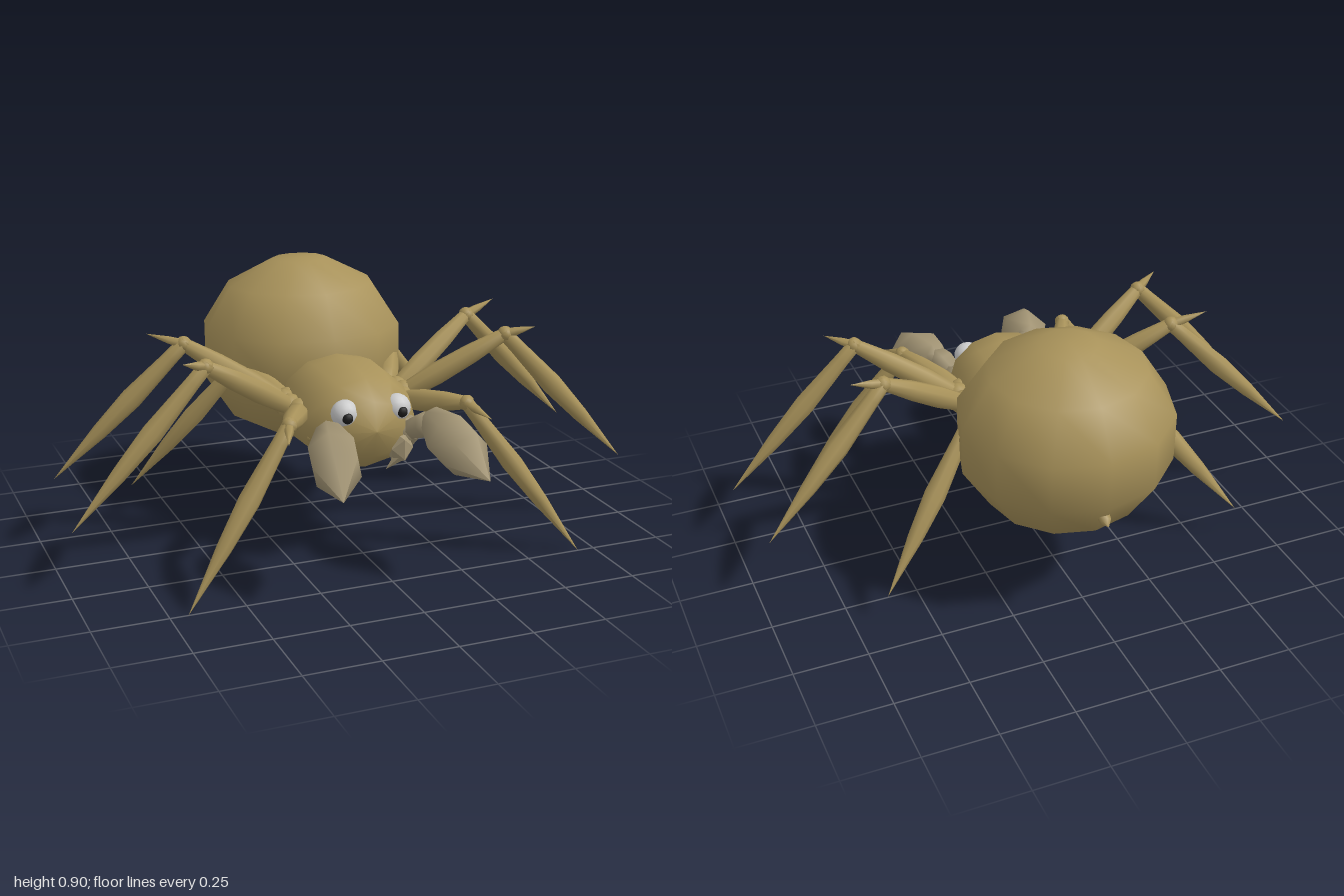
import * as THREE from 'three';

const V = (x, y, z) => new THREE.Vector3(x, y, z);
const mat = (color) => new THREE.MeshStandardMaterial({ color });

export function createModel() {
  const model = new THREE.Group();
  const brown = mat(0xa8925a), tan = mat(0xa29474), white = mat(0xe0e0e0), black = mat(0x1c1c1c);
  const facetTan = mat(0xa29474);
  facetTan.flatShading = true;

  function add(name, geometry, material, parent = model) {
    const mesh = new THREE.Mesh(geometry, material);
    mesh.name = name;
    parent.add(mesh);
    return mesh;
  }

  // Turned limb from a to b; profile holds [radius, fraction of length]
  function limb(name, a, b, profile, sides, material, parent) {
    const length = a.distanceTo(b);
    const points = profile.map(([r, t]) => new THREE.Vector2(r, t * length));
    const mesh = add(name, new THREE.LatheGeometry(points, sides), material, parent);
    mesh.position.copy(a);
    mesh.quaternion.setFromUnitVectors(V(0, 1, 0), b.clone().sub(a).normalize());
    return mesh;
  }

  function ball(name, p, r, material, parent, w = 10, h = 8) {
    const mesh = add(name, new THREE.SphereGeometry(r, w, h), material, parent);
    mesh.position.copy(p);
    return mesh;
  }

  // Abdomen: twelve-sided ball with flat caps
  const rings = [new THREE.Vector2(0, -0.97)];
  for (let i = 0; i < 6; i++) {
    const a = THREE.MathUtils.degToRad(-75 + i * 30);
    rings.push(new THREE.Vector2(Math.cos(a), Math.sin(a)));
  }
  rings.push(new THREE.Vector2(0, 0.97));
  const abdomen = add('abdomen', new THREE.LatheGeometry(rings, 12), brown);
  abdomen.scale.set(0.37, 0.332, 0.358);
  abdomen.position.set(0, 0.588, -0.342);
  abdomen.rotation.x = -0.04;
  limb('spinneret', V(0, 0.44, -0.63), V(0, 0.42, -0.68), [[0.022, 0], [0.018, 0.6], [0, 1]], 6, brown);

  // Head and thorax in one rounded shell
  const shell = [[0, -0.2], [0.12, -0.17], [0.185, -0.06], [0.205, 0.06], [0.2, 0.17], [0.18, 0.26], [0.11, 0.34], [0, 0.365]];
  const thorax = add('thorax', new THREE.LatheGeometry(shell.map(([r, z]) => new THREE.Vector2(r, z)), 12)
    .rotateX(Math.PI / 2), brown);
  thorax.scale.y = 0.86;
  thorax.position.y = 0.48;

  // Leg joints: root, knee, foot and the end of the knee spur
  const legs = [
    { name: 'frontLeg', root: [0.17, 0.5, 0.11], knee: [0.31, 0.55, 0.385], foot: [0.69, 0.01, 0.5], spur: [0.35, 0.52, 0.49] },
    { name: 'secondLeg', root: [0.17, 0.49, 0.09], knee: [0.53, 0.72, 0.22], foot: [0.99, 0.23, 0.245], spur: [0.62, 0.75, 0.27] },
    { name: 'thirdLeg', root: [0.17, 0.49, 0.06], knee: [0.52, 0.72, -0.06], foot: [0.96, 0.27, -0.15], spur: [0.64, 0.76, -0.09] },
    { name: 'rearLeg', root: [0.17, 0.5, 0.04], knee: [0.29, 0.58, -0.2], foot: [0.64, 0.12, -0.38], spur: [0.34, 0.59, -0.27] },
  ];
  const thigh = [[0, 0], [0.028, 0.02], [0.038, 0.4], [0.034, 0.7], [0.022, 1], [0, 1]];
  const shin = [[0, -0.04], [0.024, -0.02], [0.026, 0.1], [0.036, 0.4], [0.026, 0.65], [0, 1]];

  for (const s of [1, -1]) {
    const side = s > 0 ? 'left' : 'right';
    const at = (x, y, z) => V(s * x, y, z);

    for (const leg of legs) {
      const group = new THREE.Group();
      group.name = side + leg.name[0].toUpperCase() + leg.name.slice(1);
      model.add(group);
      const root = at(...leg.root), knee = at(...leg.knee);
      ball('hip', root.clone().lerp(knee, 0.1), 0.045, brown, group, 8, 6);
      limb('thigh', root, knee, thigh, 8, brown, group);
      ball('knee', knee, 0.027, brown, group, 8, 6);
      limb('shin', knee, at(...leg.foot), shin, 8, brown, group);
      limb('spur', knee, at(...leg.spur), [[0.018, 0], [0.014, 0.4], [0, 1]], 6, brown, group);
    }

    // Eye and pupil
    const eye = ball(side + 'Eye', at(0.092, 0.538, 0.31), 0.047, white, model, 14, 10);
    eye.scale.z = 0.9;
    ball(side + 'Pupil', at(0.096, 0.533, 0.344), 0.019, black);

    // Feeler: two short joints and a large pointed club
    const feeler = new THREE.Group();
    feeler.name = side + 'Feeler';
    model.add(feeler);
    limb('feelerBase', at(0.1, 0.44, 0.25), at(0.15, 0.47, 0.34), [[0, 0], [0.045, 0], [0.05, 0.6], [0.035, 1], [0, 1]], 6, tan, feeler);
    limb('feelerJoint', at(0.135, 0.46, 0.32), at(0.18, 0.51, 0.41), [[0, 0], [0.035, 0], [0.045, 0.6], [0.035, 1], [0, 1]], 6, tan, feeler);
    limb('feelerClub', at(0.178, 0.52, 0.38), at(0.248, 0.39, 0.69),
      [[0, 0], [0.042, 0.02], [0.085, 0.33], [0.083, 0.6], [0, 1]], 6, tan, feeler);

    // Faceted jaw and its fang
    const jaw = add(side + 'Jaw', new THREE.IcosahedronGeometry(1, 0), facetTan);
    jaw.scale.set(0.045, 0.065, 0.055);
    jaw.position.copy(at(0.1, 0.405, 0.315));
    const cheek = add(side + 'Cheek', new THREE.OctahedronGeometry(0.05), facetTan);
    cheek.position.copy(at(0.15, 0.43, 0.29));
    limb(side + 'Fang', at(0.1, 0.38, 0.33), at(0.05, 0.33, 0.32), [[0.022, 0], [0, 1]], 5, facetTan);

    // Small bumps low on the flank
    for (const [x, y, z] of [[0.155, 0.39, 0.12], [0.155, 0.39, 0], [0.17, 0.43, 0.2]])
      ball(side + 'FlankBump', at(x, y, z), 0.012, brown, model, 6, 5);
  }
  return model;
}
